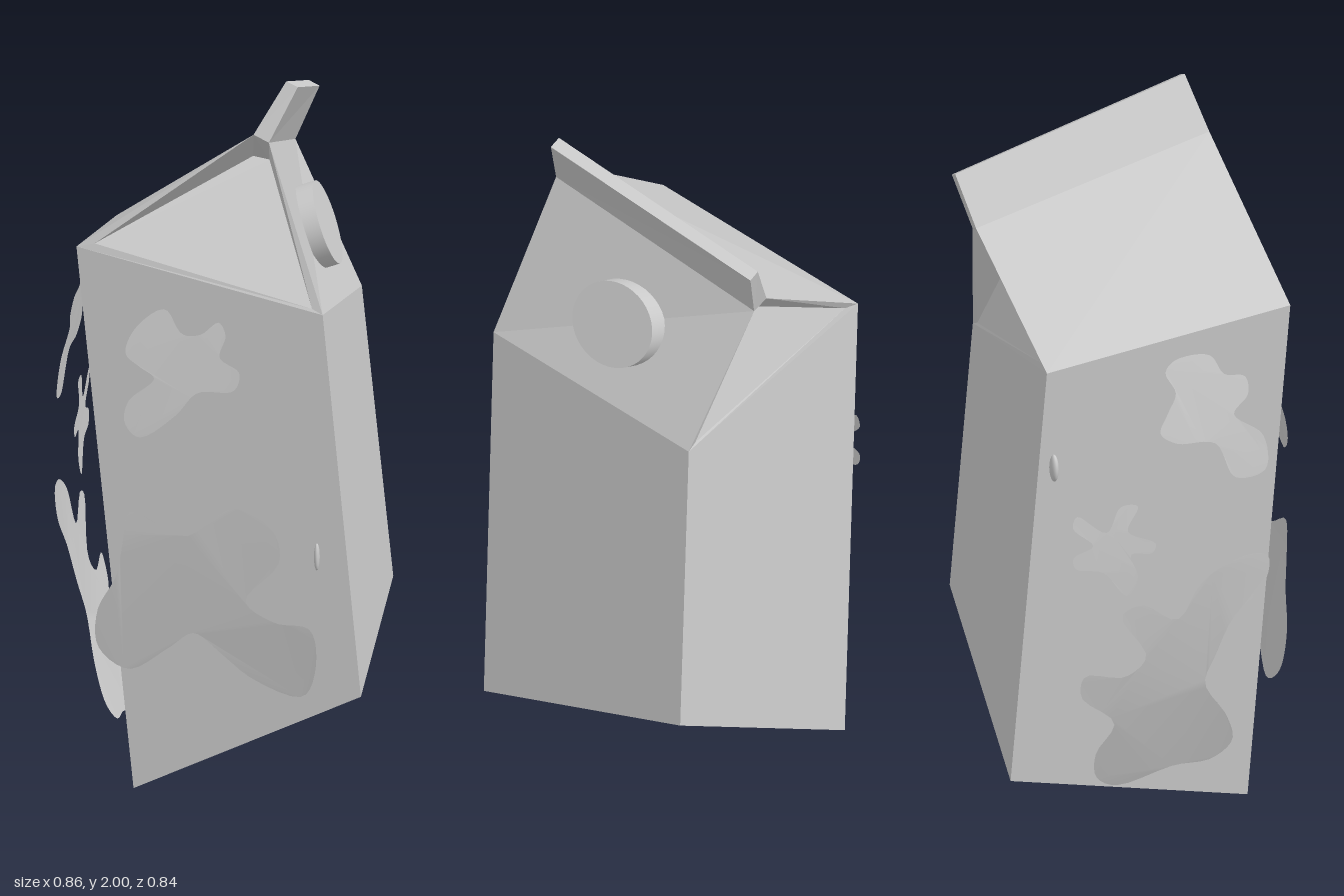
import * as THREE from 'three';

const grey = new THREE.MeshStandardMaterial({ color: 0xcccccc });
grey.name = 'light grey';
const greyThin = grey.clone();
greyThin.name = 'light grey';
greyThin.side = THREE.DoubleSide;

// Corners of the leaning carton: F/B front/back, L/R at -x/+x, 0 bottom, 1 top of wall.
const P = {
  FL0: [-0.21, 0, 0.3], FR0: [0.425, 0.295, 0.335], BL0: [-0.24, 0.16, -0.39], BR0: [0.395, 0.455, -0.355],
  FL1: [-0.355, 1.54, 0.375], FR1: [0.328, 1.38, 0.386], BL1: [-0.365, 1.445, -0.327], BR1: [0.315, 1.28, -0.315],
  // ridge (2) and top of the sealing flap (3)
  FL2: [0.122, 1.857, 0.3], FR2: [0.165, 1.837, 0.303], BL2: [0.075, 1.69, -0.385], BR2: [0.12, 1.668, -0.38],
  FL3: [0.205, 2.0, 0.257], FR3: [0.237, 1.985, 0.258], BL3: [0.15, 1.825, -0.42], BR3: [0.18, 1.81, -0.42],
  // recessed gables: base (4) and apex (5)
  FL4: [-0.305, 1.55, 0.372], FR4: [0.298, 1.395, 0.382], BL4: [-0.315, 1.452, -0.324], BR4: [0.285, 1.295, -0.312],
  FL5: [0.1, 1.765, 0.18], FR5: [0.145, 1.757, 0.18], BL5: [0.065, 1.61, -0.26], BR5: [0.105, 1.6, -0.26],
};

// Flat-faced mesh from strings of corner names
function faceted(name, faces) {
  const pos = [];
  for (const face of faces) {
    const c = face.split(' ').map((k) => P[k]);
    for (let i = 1; i < c.length - 1; i++) pos.push(...c[0], ...c[i], ...c[i + 1]);
  }
  const g = new THREE.BufferGeometry();
  g.setAttribute('position', new THREE.Float32BufferAttribute(pos, 3));
  g.computeVertexNormals();
  const m = new THREE.Mesh(g, grey);
  m.name = name;
  return m;
}

// Folded-in gable end; the back one uses the same faces turned round
function gable(name, end) {
  const faces = ['L1 R1 R4 L4', 'L4 R4 R5 L5', 'L1 L4 L2', 'R1 R2 R4', 'L2 L4 L5', 'R2 R5 R4', 'L2 L5 R5 R2'];
  return faceted(name, faces.map((f) => {
    const keys = f.split(' ').map((k) => end + k);
    return (end === 'B' ? keys.reverse() : keys).join(' ');
  }));
}

// Thin splash with a smooth outline, bowed outwards by a rule
function splash(name, outline, bend) {
  const pts = outline.map(([u, y]) => new THREE.Vector3(u, y, 0));
  const curve = new THREE.CatmullRomCurve3(pts, true, 'centripetal');
  const shape = new THREE.Shape(curve.getPoints(90).slice(0, -1).map((p) => new THREE.Vector2(p.x, p.y)));
  const g = new THREE.ShapeGeometry(shape);
  const a = g.attributes.position;
  for (let i = 0; i < a.count; i++) a.setXYZ(i, ...bend(a.getX(i), a.getY(i)));
  g.computeVertexNormals();
  const m = new THREE.Mesh(g, greyThin);
  m.name = name;
  return m;
}
const onFront = (x, y) => [x, y, 0.417 - 0.19 * (y - 0.93) ** 2];
const onSide = (z, y) => [-0.433 + 0.26 * (y - 0.93) ** 2, y, z];

function droplet(name, pos, size) {
  const m = new THREE.Mesh(new THREE.SphereGeometry(1, 16, 10), grey);
  m.position.set(...pos);
  m.scale.set(...size);
  m.name = name;
  return m;
}

export function createModel() {
  const model = new THREE.Group();
  model.name = 'carton';

  model.add(
    faceted('cartonWalls', [
      'FL0 FR0 FR1 FL1', 'BR0 BL0 BL1 BR1', 'BL0 FL0 FL1 BL1', 'FR0 BR0 BR1 FR1', 'BL0 BR0 FR0 FL0',
    ]),
    faceted('roofPanels', ['FL2 BL2 BL1 FL1', 'FR1 BR1 BR2 FR2']),
    faceted('sealingFlap', [
      'FL2 FL3 BL3 BL2', 'FR2 BR2 BR3 FR3', 'FL3 FR3 BR3 BL3', 'FL2 FR2 FR3 FL3', 'BR2 BL2 BL3 BR3',
    ]),
    gable('frontGable', 'F'),
    gable('backGable', 'B'),
  );

  // Screw cap on the right roof panel
  const normal = new THREE.Vector3(0.944, 0.326, -0.064).normalize();
  const along = new THREE.Vector3(0, 0, 1).addScaledVector(normal, -normal.z).normalize();
  const capGeo = new THREE.CylinderGeometry(1, 1, 1, 40);
  capGeo.scale(0.118, 0.07, 0.135);
  const cap = new THREE.Mesh(capGeo, grey);
  const slope = new THREE.Vector3().crossVectors(normal, along);
  cap.quaternion.setFromRotationMatrix(new THREE.Matrix4().makeBasis(slope, normal, along));
  cap.position.set(0.275, 1.54, 0).addScaledVector(normal, -0.035);
  cap.name = 'screwCap';
  model.add(cap);

  // Splashes on the front
  model.add(
    splash('frontUpperSplash', [
      [-0.19, 1.32], [-0.11, 1.375], [-0.06, 1.31], [-0.01, 1.31], [0.04, 1.345], [0.06, 1.31], [0.045, 1.25],
      [0.1, 1.21], [0.085, 1.16], [-0.015, 1.15], [-0.075, 1.085], [-0.175, 1.02], [-0.215, 1.06], [-0.205, 1.12],
      [-0.135, 1.185], [-0.175, 1.215], [-0.215, 1.25],
    ], onFront),
    splash('frontLowerSplash', [
      [-0.2, 0.81], [-0.05, 0.745], [0.085, 0.83], [0.195, 0.77], [0.21, 0.68], [0.115, 0.565], [0.195, 0.505],
      [0.29, 0.49], [0.305, 0.385], [0.265, 0.29], [0.13, 0.335], [0.035, 0.415], [-0.03, 0.465], [-0.105, 0.415],
      [-0.215, 0.35], [-0.295, 0.41], [-0.295, 0.52], [-0.24, 0.625], [-0.22, 0.73],
    ], onFront),
  );

  // Splashes on the side at -x
  model.add(
    splash('sideUpperSplash', [
      [0.04, 1.43], [0.14, 1.43], [0.176, 1.375], [0.235, 1.36], [0.24, 1.31], [0.197, 1.26], [0.277, 1.19],
      [0.28, 1.09], [0.193, 1.08], [0.14, 1.185], [0.03, 1.2], [-0.015, 1.235], [0.01, 1.29], [0.035, 1.34],
      [0.01, 1.4],
    ], onSide),
    splash('sideMiddleSplash', [
      [-0.137, 1.04], [-0.087, 1.035], [-0.117, 0.965], [-0.037, 0.916], [-0.047, 0.889], [-0.107, 0.893],
      [-0.087, 0.817], [-0.117, 0.766], [-0.187, 0.849], [-0.266, 0.873], [-0.272, 0.908], [-0.217, 0.935],
      [-0.274, 0.997], [-0.262, 1.03], [-0.177, 0.97],
    ], onSide),
    splash('sideLowerSplash', [
      [0.22, 0.84], [0.285, 0.83], [0.28, 0.75], [0.191, 0.644], [0.148, 0.529], [0.125, 0.44], [0.2, 0.31],
      [0.225, 0.216], [0.171, 0.16], [0.066, 0.155], [-0.09, 0.11], [-0.154, 0.15], [-0.168, 0.241],
      [-0.126, 0.341], [-0.23, 0.45], [-0.225, 0.52], [-0.108, 0.5], [-0.052, 0.556], [-0.129, 0.703],
      [-0.073, 0.729], [0.032, 0.667], [0.099, 0.777],
    ], onSide),
  );

  // Small droplets breaking the wall surface
  model.add(
    droplet('frontDroplet', [0.307, 0.69, 0.357], [0.008, 0.038, 0.012]),
    droplet('sideDroplet', [-0.345, 1.145, -0.3], [0.022, 0.04, 0.012]),
  );
  return model;
}
